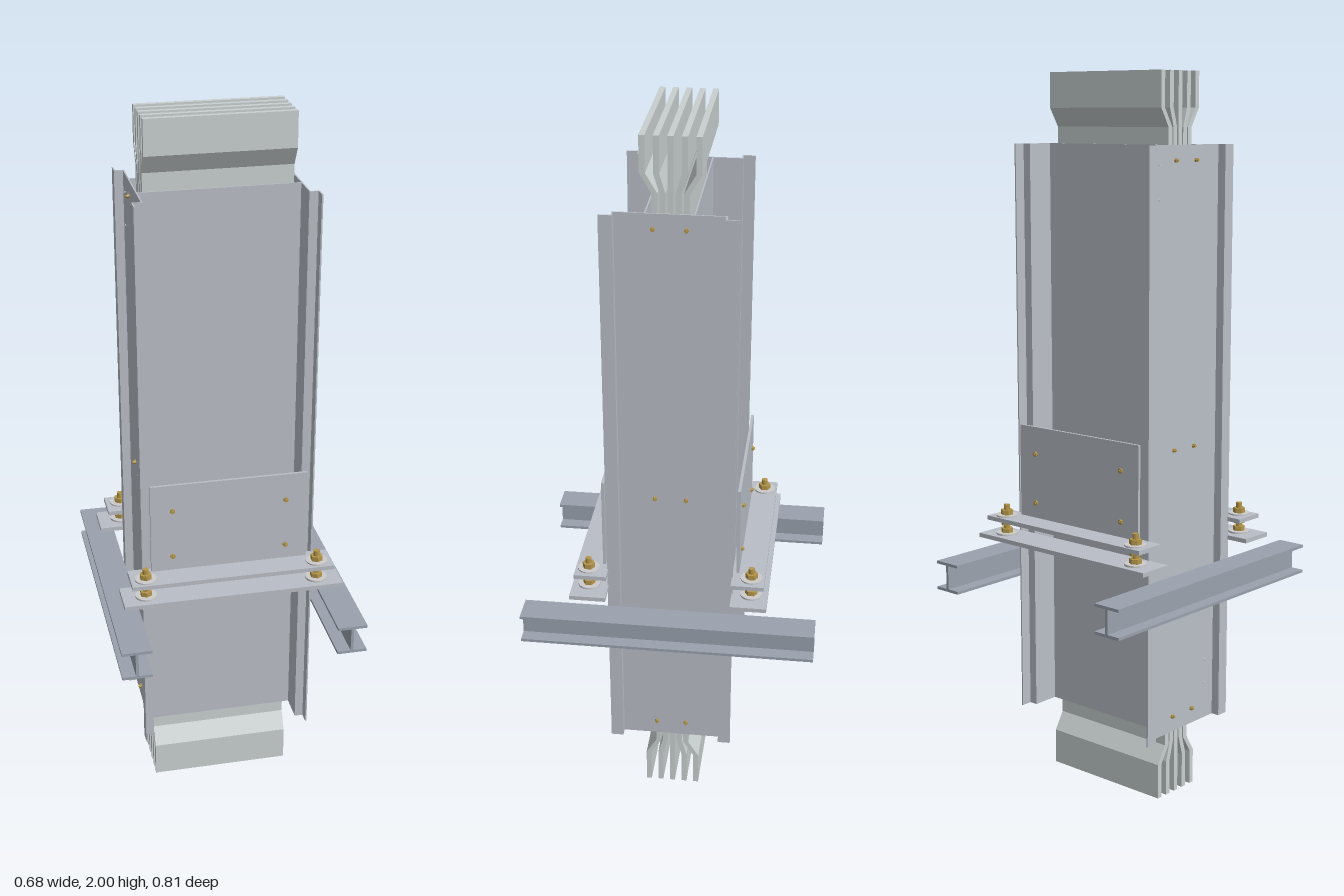
import * as THREE from 'three';

const mat = (color) => new THREE.MeshStandardMaterial({ color, flatShading: true });

export function createModel() {
  const root = new THREE.Group();
  const sheet = mat(0xb9bec6), bar = mat(0xc9d0d0), beamMat = mat(0x9aa2ae);
  const brass = mat(0xb5964a), plain = mat(0xcccccc);

  const add = (name, geo, material, x = 0, y = 0, z = 0, parent = root) => {
    const m = new THREE.Mesh(geo, material);
    m.name = name;
    m.position.set(x, y, z);
    parent.add(m);
    return m;
  };
  const box = (name, w, h, d, material, x, y, z, parent) =>
    add(name, new THREE.BoxGeometry(w, h, d), material, x, y, z, parent);
  const extrude = (points, depth) =>
    new THREE.ExtrudeGeometry(new THREE.Shape(points.map(([x, y]) => new THREE.Vector2(x, y))),
      { depth, bevelEnabled: false });

  // Five flat conductors, packed in the housing and fanned out at both ends
  const half = 0.0075;
  for (let i = -2; i <= 2; i++) {
    const packed = i * 0.02, fanned = i * 0.035;
    const path = [[fanned, 0], [fanned, 0.1], [packed, 0.15 + 0.012 * (2 - Math.abs(i)) / 2],
      [packed, 1.855], [fanned, 1.905], [fanned, 2]];
    const outline = [
      ...path.map(([z, y]) => [-z - half, y]).reverse(),
      ...path.map(([z, y]) => [-z + half, y]),
    ];
    const geo = extrude(outline, 0.396);
    geo.translate(0, 0, -0.198);
    geo.rotateY(Math.PI / 2);
    add('conductor', geo, bar);
  }

  // Housing: two stepped side channels and two recessed panels
  const y0 = 0.195, y1 = 1.81, t = 0.004;
  for (const s of [1, -1]) {
    const profile = [[0.213, -0.143], [0.237, -0.143], [0.237, -0.174], [0.241, -0.174],
      [0.241, -0.139], [0.217, -0.139]];
    const outline = [...profile, ...profile.map(([x, z]) => [x, -z]).reverse()]
      .map(([x, z]) => [x * s, z]);
    const geo = extrude(outline, y1 - y0);
    geo.rotateX(-Math.PI / 2);
    add('sideChannel', geo, sheet, 0, y0, 0);
    box('housingPanel', 0.426, y1 - y0, t, sheet, 0, (y0 + y1) / 2, s * 0.062);

    // Side fasteners
    for (const y of [0.24, 1.0, 1.77]) for (const z of [-0.042, 0.042]) {
      const head = add('sideBolt', new THREE.CylinderGeometry(0.006, 0.006, 0.006, 6), brass, s * 0.22, y, z);
      head.rotation.z = Math.PI / 2;
      const shank = add('sideBoltEnd', new THREE.CylinderGeometry(0.0035, 0.0035, 0.012, 12), brass, s * 0.221, y, z);
      shank.rotation.z = Math.PI / 2;
    }
  }
  // Small rivets on the right side
  for (const [y, z] of [[1.76, -0.107], [1.67, -0.107], [0.37, 0.1], [0.3, 0.1]]) {
    const rivet = add('rivet', new THREE.CylinderGeometry(0.003, 0.003, 0.003, 10), plain, -0.218, y, z);
    rivet.rotation.z = Math.PI / 2;
  }

  // Supporting I-beams
  const f = 0.041, b = 0.582, top = 0.665, ft = 0.008, w = 0.004;
  const section = [[-f, b], [f, b], [f, b + ft], [w, b + ft], [w, top - ft], [f, top - ft],
    [f, top], [-f, top], [-f, top - ft], [-w, top - ft], [-w, b + ft], [-f, b + ft]];
  for (const s of [1, -1])
    add('supportBeam', extrude(section, 0.81), beamMat, s * 0.297, 0, -0.405);

  // Clamp rod with washers and hexagon nuts
  const clampRod = (x, z, parent) => {
    const rod = new THREE.Group();
    rod.name = 'clampRod';
    rod.position.set(x, 0, z);
    parent.add(rod);
    const disc = (name, r, ya, yb, n, m) =>
      add(name, new THREE.CylinderGeometry(r, r, yb - ya, n), m, 0, (ya + yb) / 2, 0, rod);
    disc('rod', 0.0085, 0.7, 0.81, 16, brass);
    disc('upperWasher', 0.03, 0.777, 0.781, 32, plain);
    disc('upperNut', 0.017, 0.781, 0.795, 6, brass);
    disc('middleNut', 0.017, 0.751, 0.764, 6, brass);
    disc('lowerWasher', 0.03, 0.724, 0.729, 32, plain);
    disc('lowerNut', 0.017, 0.729, 0.742, 6, brass);
  };

  // Hanger brackets at front and back
  for (const s of [1, -1]) {
    const hanger = new THREE.Group();
    hanger.name = s > 0 ? 'frontHanger' : 'backHanger';
    root.add(hanger);
    box('lowerBar', 0.612, 0.012, 0.1, sheet, 0, 0.718, s * 0.221, hanger);
    box('upperBar', 0.564, 0.012, 0.09, sheet, 0, 0.771, s * 0.216, hanger);
    box('mountingPlate', 0.436, 0.26, 0.008, sheet, 0, 0.907, s * 0.185, hanger);
    for (const sx of [1, -1]) {
      clampRod(sx * 0.24, s * 0.225, hanger);
      for (const y of [0.82, 0.96]) {
        const bolt = add('plateBolt', new THREE.CylinderGeometry(0.007, 0.007, 0.006, 6), brass, sx * 0.158, y, s * 0.192, hanger);
        bolt.rotation.x = Math.PI / 2;
        const end = add('plateBoltEnd', new THREE.CylinderGeometry(0.0035, 0.0035, 0.012, 12), brass, sx * 0.158, y, s * 0.192, hanger);
        end.rotation.x = Math.PI / 2;
      }
    }
  }
  return root;
}
